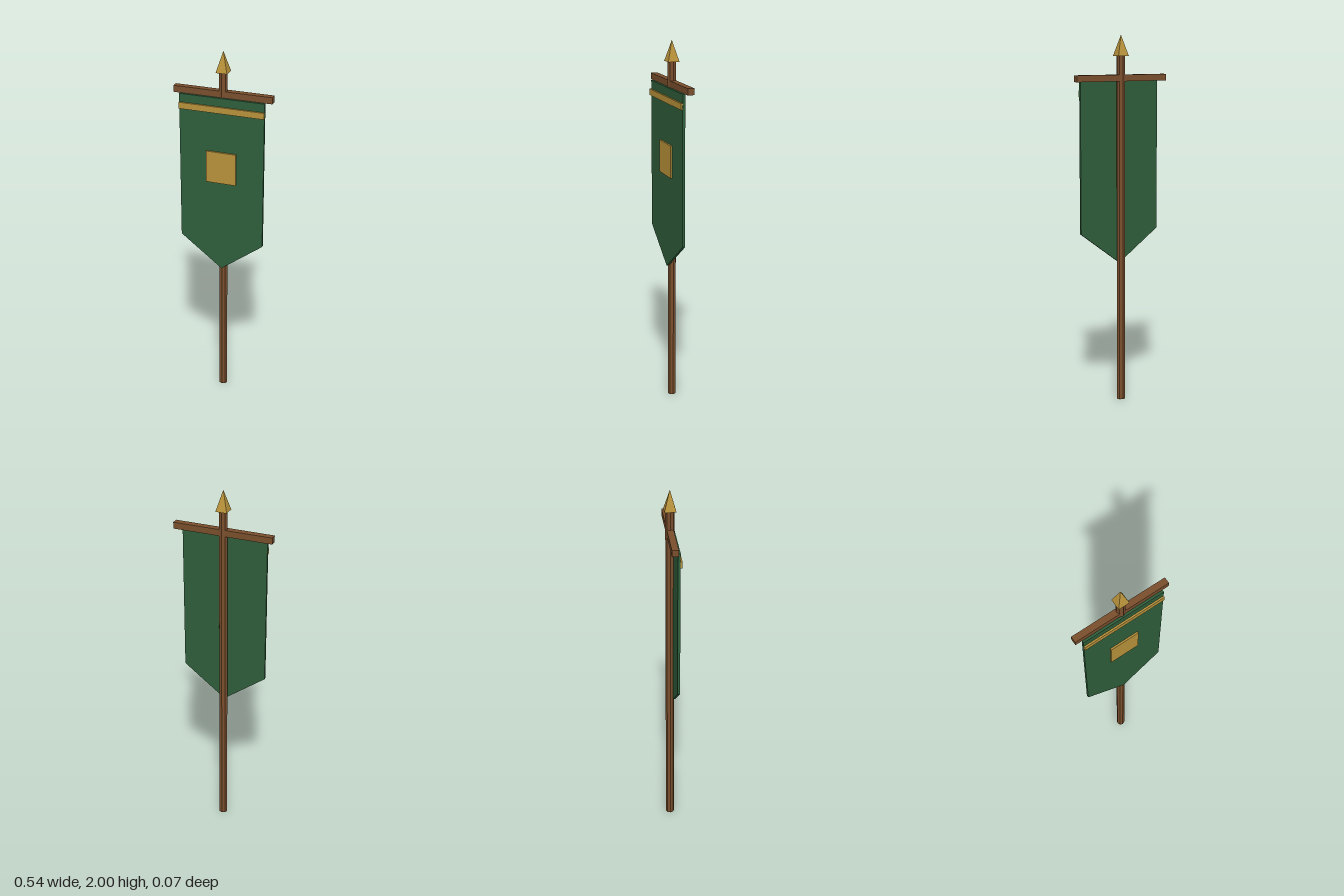
import * as THREE from 'three';

export function createModel() {
  const group = new THREE.Group();
  const material = (name, color) => {
    const m = new THREE.MeshStandardMaterial({ color, flatShading: true });
    m.name = name;
    return m;
  };
  const wood = material('wood', 0x7a4f2d);
  const cloth = material('green cloth', 0x2f5e3b);
  const gold = material('gold', 0xb9933b);

  const add = (name, geometry, mat, x, y, z) => {
    const mesh = new THREE.Mesh(geometry, mat);
    mesh.name = name;
    mesh.position.set(x, y, z);
    group.add(mesh);
    return mesh;
  };
  const axisZ = -0.005; // depth of the pole's centre line

  // Eight-sided pole with a four-sided spear tip
  add('pole', new THREE.CylinderGeometry(0.0235, 0.0235, 1.9, 8), wood, 0, 0.95, axisZ);
  const tip = new THREE.ConeGeometry(0.0435, 0.11, 4);
  tip.rotateY(Math.PI / 4);
  add('spearTip', tip, gold, 0, 1.945, axisZ);

  // Crossbar
  add('crossbar', new THREE.BoxGeometry(0.54, 0.035, 0.035), wood, 0, 1.774, axisZ);

  // Hanging banner with a pointed lower edge
  const outline = new THREE.Shape([
    [-0.233, 1.757], [-0.233, 0.945], [0, 0.77], [0.233, 0.945], [0.233, 1.757],
  ].map(([x, y]) => new THREE.Vector2(x, y)));
  add('banner', new THREE.ExtrudeGeometry(outline, { depth: 0.014, bevelEnabled: false }),
    cloth, 0, 0, 0.011);

  // Raised trim and square emblem on the front
  add('trimStripe', new THREE.BoxGeometry(0.466, 0.034, 0.0095), gold, 0, 1.694, 0.0298);
  add('emblem', new THREE.BoxGeometry(0.166, 0.175, 0.0095), gold, 0, 1.373, 0.0298);

  return group;
}
